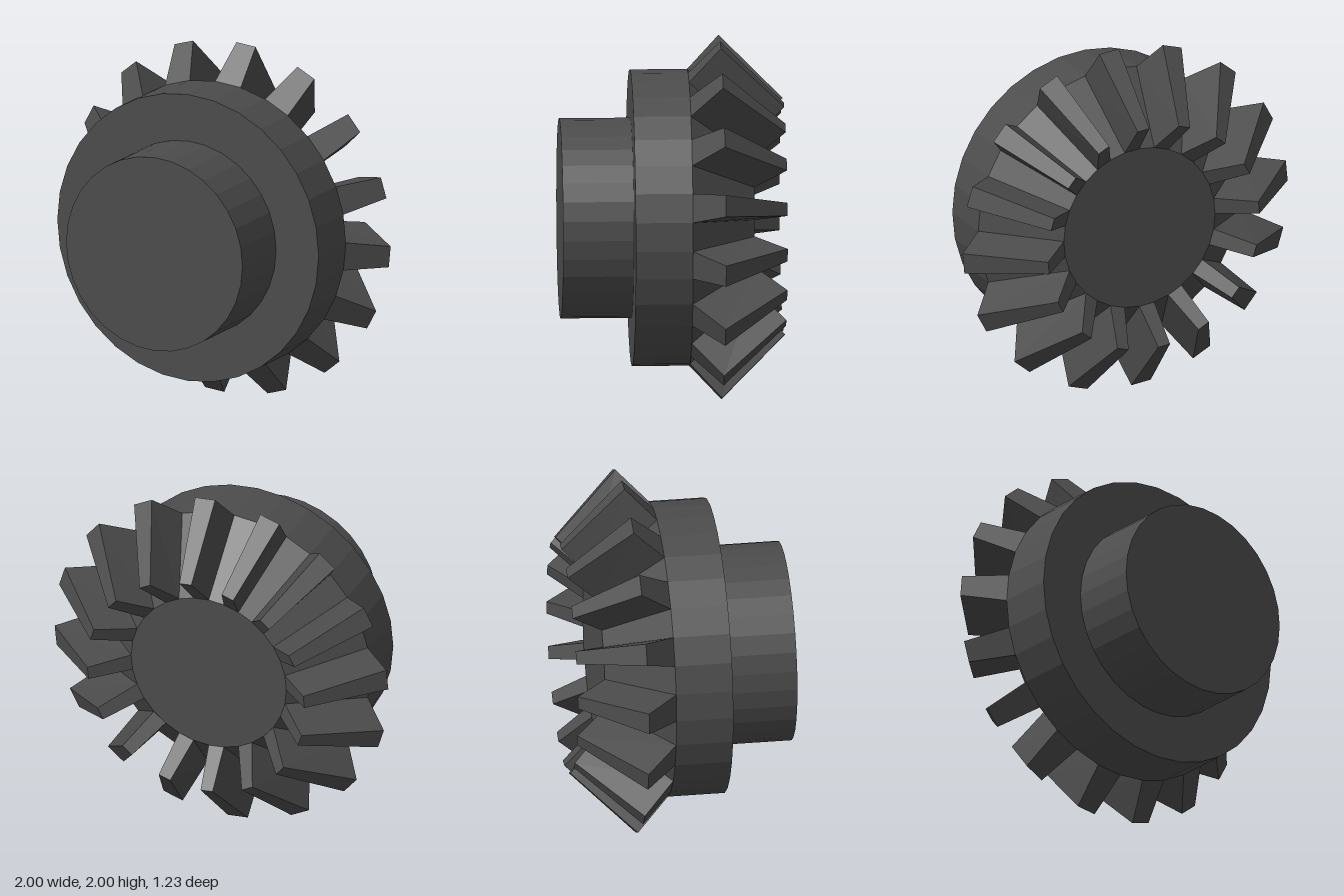
import * as THREE from 'three';

const TEETH = 16;
const SEGMENTS = TEETH * 2; // one facet under each tooth, one per gap
const STEP = (Math.PI * 2) / TEETH;

// Faceted look: every triangle gets its own normal
function faceted(geometry) {
  const flat = geometry.toNonIndexed();
  flat.computeVertexNormals();
  return flat;
}

// Turned part around the z axis; profile is [radius, z] from back to front
function turned(name, profile, material) {
  const points = profile.map(([r, z]) => new THREE.Vector2(r, z));
  const geometry = new THREE.LatheGeometry(points, SEGMENTS).rotateX(Math.PI / 2);
  const mesh = new THREE.Mesh(faceted(geometry), material);
  mesh.name = name;
  return mesh;
}

// One tooth pointing up: a box whose corners move onto the bevelled section
function toothGeometry() {
  const corners = {
    rootFront: [0.08, 0.811, -0.09],
    tipFront: [0.06, 0.999, -0.265],
    rootBack: [0.0455, 0.463, -0.44],
    tipBack: [0.036, 0.65, -0.615],
  }; // half width, radius, z
  const geometry = new THREE.BoxGeometry(2, 2, 2);
  const pos = geometry.attributes.position;
  for (let i = 0; i < pos.count; i++) {
    const key = (pos.getY(i) > 0 ? 'tip' : 'root') + (pos.getZ(i) > 0 ? 'Front' : 'Back');
    const [half, radius, z] = corners[key];
    pos.setXYZ(i, Math.sign(pos.getX(i)) * half, radius, z);
  }
  return faceted(geometry);
}

export function createModel() {
  const steel = new THREE.MeshStandardMaterial({ color: 0x4c4c4c });
  steel.name = 'dark steel';

  const model = new THREE.Group();
  model.name = 'bevelGear';

  const gear = new THREE.Group();
  gear.name = 'gear';
  gear.position.y = 1;
  model.add(gear);

  // Body
  gear.add(
    turned('hub', [[0.55, 0.225], [0.55, 0.615], [0, 0.615]], steel),
    turned('rim', [[0.815, -0.09], [0.815, 0.225], [0.55, 0.225]], steel),
    turned('rootCone', [[0, -0.44], [0.465, -0.44], [0.815, -0.09]], steel),
  );

  // Ring of teeth, each centred on a facet of the root cone
  const teeth = new THREE.Group();
  teeth.name = 'teeth';
  const geometry = toothGeometry();
  for (let i = 0; i < TEETH; i++) {
    const tooth = new THREE.Mesh(geometry, steel);
    tooth.name = `tooth${i + 1}`;
    tooth.rotation.z = (i - 0.25) * STEP;
    teeth.add(tooth);
  }
  gear.add(teeth);

  return model;
}
